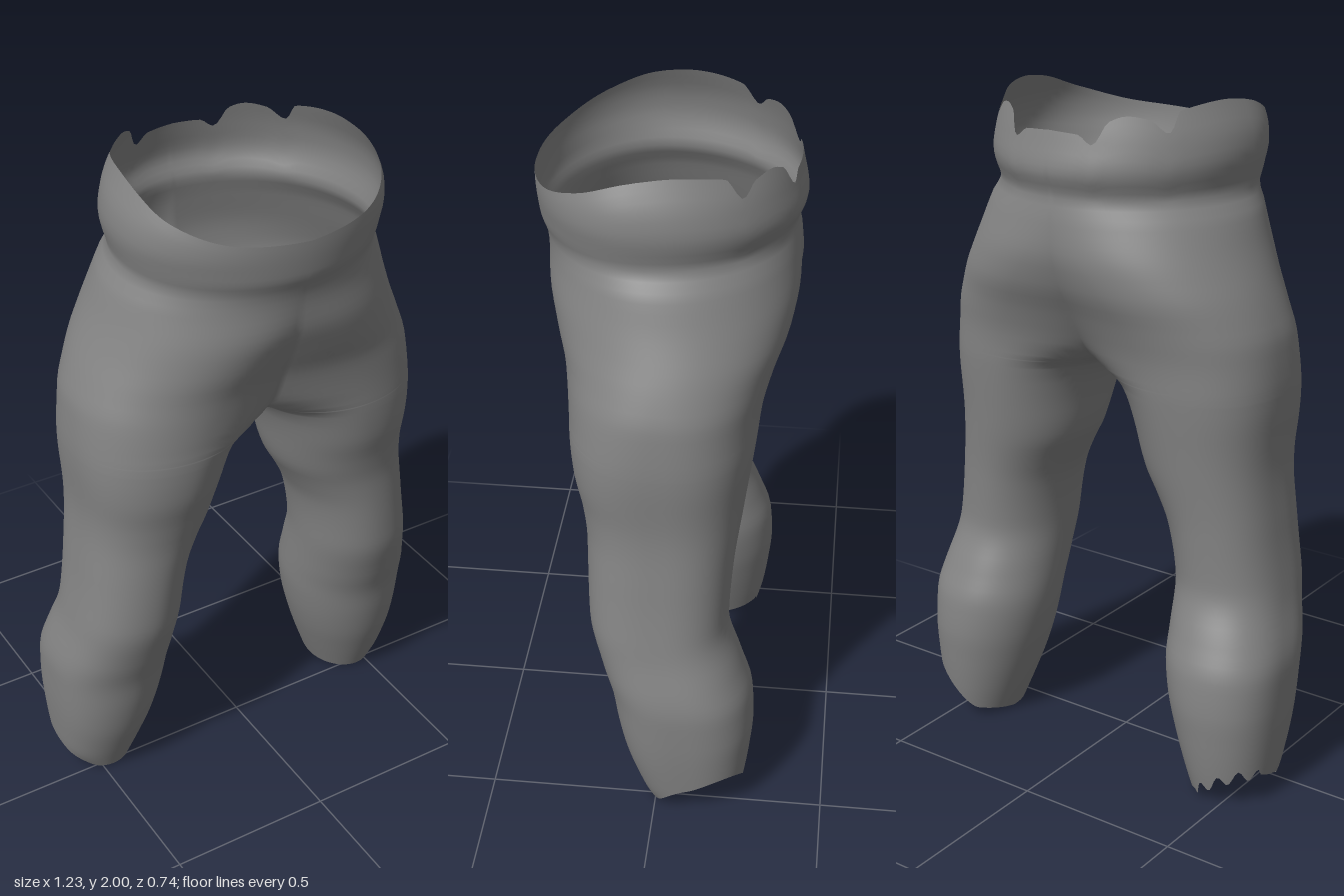
import * as THREE from 'three';
import { mergeVertices } from 'three/addons/utils/BufferGeometryUtils.js';

// Smooth interpolation through [position, value] pairs, without overshoot
function profile(pts) {
  const d = pts.slice(1).map((p, i) => (p[1] - pts[i][1]) / (p[0] - pts[i][0]));
  const m = pts.map((_, i) => {
    if (i === 0) return d[0];
    if (i === d.length) return d[i - 1];
    return d[i - 1] * d[i] <= 0 ? 0 : (2 * d[i - 1] * d[i]) / (d[i - 1] + d[i]);
  });
  return (t) => {
    if (t <= pts[0][0]) return pts[0][1];
    let i = 0;
    while (i < d.length && t > pts[i + 1][0]) i++;
    if (i === d.length) return pts[i][1];
    const h = pts[i + 1][0] - pts[i][0], s = (t - pts[i][0]) / h, r = 1 - s;
    return pts[i][1] * (1 + 2 * s) * r * r + pts[i + 1][1] * s * s * (3 - 2 * s)
      + h * s * r * (m[i] * r - m[i + 1] * s);
  };
}

const CROTCH = 1.23, WAIST = 1.74, CUFF = 0.3;

// Outlines of one leg and its half of the hips, by height
const outer = profile([[0, 0.56], [0.05, 0.588], [0.1, 0.597], [0.3, 0.613], [0.4, 0.615], [0.6, 0.575],
  [0.8, 0.545], [1, 0.528], [1.2, 0.538], [1.35, 0.528], [1.42, 0.508], [1.6, 0.435], [1.7, 0.398],
  [1.75, 0.37], [1.8, 0.38], [1.85, 0.388], [1.9, 0.383], [2, 0.345]]);
const inner = profile([[0, 0.36], [0.1, 0.322], [0.2, 0.288], [0.3, 0.262], [0.4, 0.246], [0.6, 0.235],
  [0.7, 0.225], [0.8, 0.205], [0.9, 0.16], [0.95, 0.132], [1, 0.115], [1.1, 0.09], [1.18, 0.06],
  [1.21, 0.035], [CROTCH, 0], [1.26, -0.065], [1.3, -0.125], [1.4, -0.215], [1.5, -0.285], [1.6, -0.33],
  [1.7, -0.355], [2, -0.36]]);
const centreX = profile([[0, 0.465], [0.1, 0.46], [0.4, 0.43], [0.6, 0.405], [0.8, 0.375], [1, 0.325],
  [1.2, 0.285], [1.3, 0.25], [1.4, 0.2], [1.5, 0.14], [1.6, 0.07], [1.7, 0.012], [WAIST, 0]]);
const front = profile([[0, 0.02], [0.1, 0.06], [0.2, 0.095], [0.3, 0.118], [0.4, 0.135], [0.5, 0.165],
  [0.65, 0.2], [0.9, 0.208], [1, 0.223], [1.1, 0.247], [1.2, 0.258], [1.3, 0.263], [1.4, 0.274],
  [1.5, 0.304], [1.6, 0.33], [1.68, 0.336], [1.72, 0.343], [1.78, 0.364], [1.88, 0.372], [2, 0.35]]);
const back = profile([[0, -0.245], [0.1, -0.265], [0.2, -0.278], [0.3, -0.286], [0.4, -0.28], [0.5, -0.248],
  [0.65, -0.203], [0.8, -0.21], [1, -0.235], [1.2, -0.262], [1.3, -0.274], [1.4, -0.302], [1.5, -0.34],
  [1.6, -0.357], [1.7, -0.352], [1.75, -0.345], [1.82, -0.366], [1.9, -0.352], [1.98, -0.335]]);
const shiftZ = profile([[1.5, 0], [1.8, 0.04], [2, 0.05]]);

// Squareness of the outer half of the section: 1 is an ellipse, less is boxier
const fullness = profile([[0, 0.85], [0.3, 0.74], [1.1, 0.74], [1.3, 0.82], [1.55, 1], [1.7, 1], [1.85, 0.95]]);

// Ragged waist edge by angle: -90 is the middle of the back, 90 of the front
const rim = profile([[-90, 1.93], [-77, 1.925], [-71, 1.9], [-64, 1.96], [-56, 1.975], [-47, 1.965],
  [-40, 1.93], [-33, 1.985], [-12, 2], [5, 1.985], [30, 1.94], [60, 1.895], [90, 1.88]]);

// Trouser hem, arched towards the outer back; the right leg has torn teeth
function hem(a, side) {
  const arch = (side > 0 ? 0.14 : 0.09) * Math.max(0, Math.cos(a + 0.5)) ** 1.6;
  const torn = side < 0 && a < -0.3 && a > -1.9;
  return arch + 0.03 * Math.max(0, -Math.sin(a)) + (torn ? 0.018 * Math.sin(a * 14) : 0);
}

// Point on one side; u runs from -1 (back seam) round the outside to 1 (front seam)
function surfacePoint(level, u, side) {
  let y = level;
  if (y < CUFF) {
    const h = hem(u * Math.PI, side);
    y = h + (y * (CUFF - h)) / CUFF;
  } else if (y > WAIST) {
    y = WAIST + ((y - WAIST) * (rim(u * 90) - WAIST)) / (2 - WAIST);
  }
  const cx = centreX(y), ri = cx - inner(y), ro = outer(y) - cx;
  const a = u * Math.acos(-Math.min(1, cx / ri));
  const cos = Math.cos(a), sin = Math.sin(a);
  let x = cx + (cos > 0 ? ro : ri) * cos;
  if (Math.abs(u) === 1 && level >= CROTCH) x = 0;
  const zf = front(y), zb = back(y), cz = (zf + zb) / 2 + shiftZ(y);
  const z = cz + (sin > 0 ? zf - cz : zb - cz) * Math.abs(sin) ** (cos > 0 ? fullness(y) : 1);
  return [side * x, y, z];
}

function trouserGeometry() {
  const levels = [1.206, 1.215, 1.222, 1.227, CROTCH, 1.233, 1.24];
  for (let i = 0; i <= 80; i++) levels.push(i * 0.025);
  levels.sort((a, b) => a - b);
  const N = 96, positions = [], index = [];
  for (const side of [1, -1]) {
    const base = positions.length / 3;
    for (const level of levels) {
      for (let i = 0; i <= N; i++) positions.push(...surfacePoint(level, (2 * i) / N - 1, side));
    }
    for (let j = 0; j < levels.length - 1; j++) {
      for (let i = 0; i < N; i++) {
        const a = base + j * (N + 1) + i, b = a + 1, c = a + N + 1, d = c + 1;
        if (side > 0) index.push(a, c, b, b, c, d);
        else index.push(a, b, c, b, d, c);
      }
    }
  }
  const geometry = new THREE.BufferGeometry();
  geometry.setAttribute('position', new THREE.Float32BufferAttribute(positions, 3));
  geometry.setIndex(index);
  // Weld the two halves along the centre seam and each inner leg seam
  const welded = mergeVertices(geometry, 1e-4);
  welded.computeVertexNormals();
  return welded;
}

export function createModel() {
  const group = new THREE.Group();
  group.name = 'trousers';
  const material = new THREE.MeshStandardMaterial({ color: 0x848484, side: THREE.DoubleSide });
  const shell = new THREE.Mesh(trouserGeometry(), material);
  shell.name = 'trouserShell';
  group.add(shell);
  return group;
}
